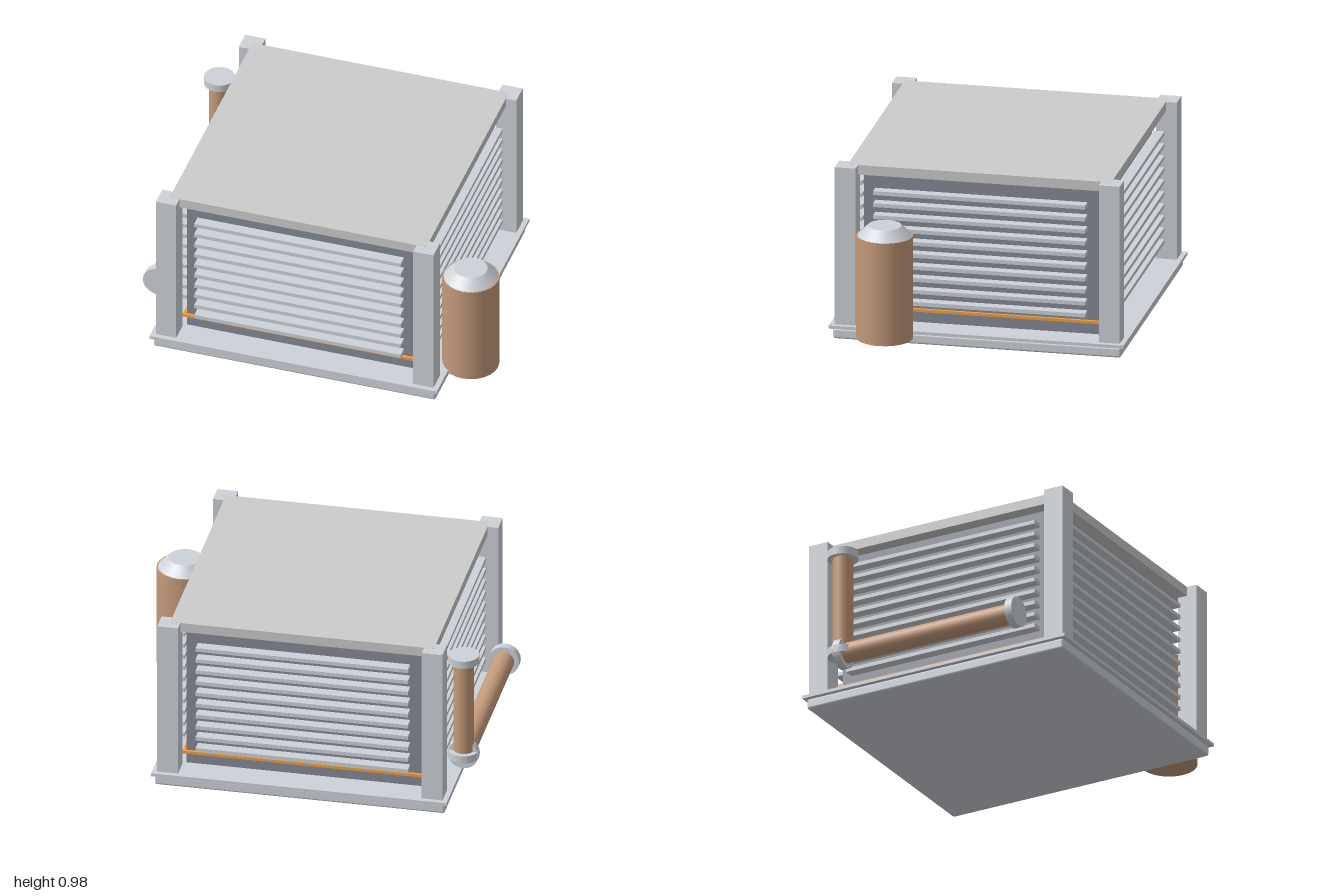
import * as THREE from 'three';
import { RoundedBoxGeometry } from 'three/addons/geometries/RoundedBoxGeometry.js';

const mat = (color) => new THREE.MeshStandardMaterial({ color });

export function createModel() {
  const model = new THREE.Group();
  const steel = mat(0xcdd2d8), roofGrey = mat(0xcccccc), dark = mat(0x858a95);
  const copper = mat(0xc49a7a), orange = mat(0xf0a040);

  const add = (parent, name, geometry, material, x = 0, y = 0, z = 0) => {
    const mesh = new THREE.Mesh(geometry, material);
    mesh.name = name;
    mesh.position.set(x, y, z);
    parent.add(mesh);
    return mesh;
  };
  const box = (w, h, d) => new THREE.BoxGeometry(w, h, d);

  // Housing, square in plan, slightly off the model's centre
  const housing = new THREE.Group();
  housing.name = 'housing';
  housing.position.x = -0.06;
  model.add(housing);

  add(housing, 'base', new RoundedBoxGeometry(1.605, 0.058, 1.595, 2, 0.012), steel, 0, 0.029, 0);
  add(housing, 'basePlate', box(1.635, 0.018, 1.635), steel, 0, 0.069, 0);
  add(housing, 'core', box(1.31, 0.85, 1.31), dark, 0, 0.495, 0);
  add(housing, 'roof', box(1.46, 0.054, 1.46), roofGrey, 0, 0.949, 0);

  // Corner posts
  for (const sx of [-1, 1]) for (const sz of [-1, 1])
    add(housing, 'cornerPost', box(0.115, 0.9, 0.115), steel, sx * 0.732, 0.525, sz * 0.732);

  // Louvres and trim on each of the four sides
  for (let side = 0; side < 4; side++) {
    const face = new THREE.Group();
    face.name = 'louvreSide';
    face.rotation.y = side * Math.PI / 2;
    housing.add(face);
    for (let i = 0; i < 10; i++)
      add(face, 'louvre', box(1.175, 0.022, 0.06), steel, 0, 0.208 + i * 0.0686, 0.71);
    add(face, 'trim', box(1.35, 0.016, 0.016), orange, 0, 0.15, 0.667);
  }

  // Upright tank with a bevelled cap
  const tank = new THREE.Group();
  tank.name = 'tank';
  tank.position.set(0.845, 0, 0.488);
  model.add(tank);
  add(tank, 'tankBody', new THREE.CylinderGeometry(0.155, 0.155, 0.585, 24), copper, 0, 0.3555, 0);
  add(tank, 'tankCap', new THREE.CylinderGeometry(0.092, 0.147, 0.055, 24), steel, 0, 0.6755, 0);

  // Pipe with a flange at both ends, built along y
  const flangedPipe = (name, length) => {
    const pipe = new THREE.Group();
    pipe.name = name;
    add(pipe, 'pipe', new THREE.CylinderGeometry(0.057, 0.057, length, 20), copper, 0, length / 2, 0);
    for (const y of [0, length])
      add(pipe, 'flange', new THREE.CylinderGeometry(0.085, 0.085, 0.044, 20), steel, 0, y, 0);
    model.add(pipe);
    return pipe;
  };
  flangedPipe('risingPipe', 0.585).position.set(-0.915, 0.248, -0.542);
  const level = flangedPipe('levelPipe', 1.075);
  level.position.set(-0.915, 0.248, -0.542);
  level.rotation.x = Math.PI / 2;

  return model;
}
